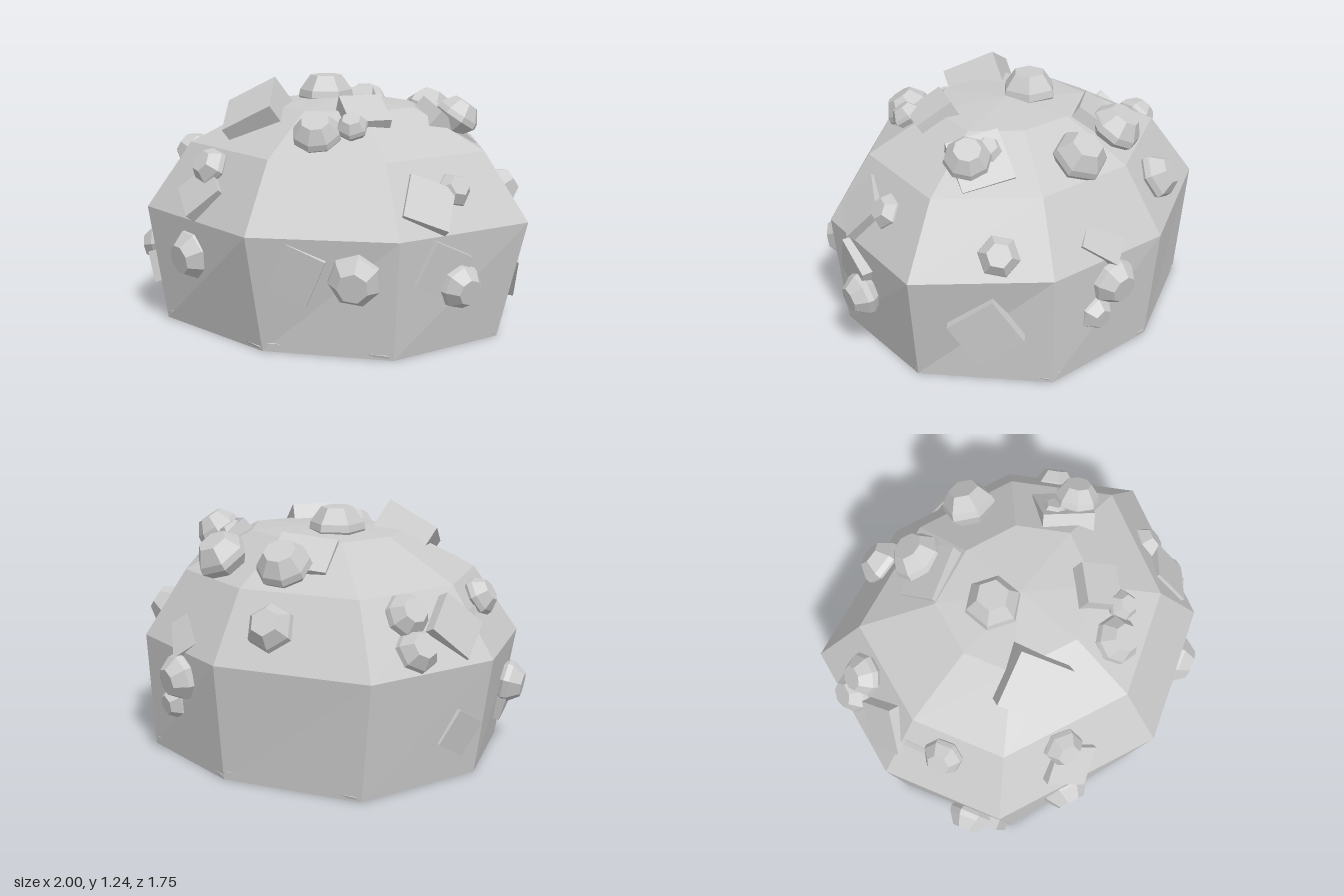
import * as THREE from 'three';

const mat = new THREE.MeshStandardMaterial({ color: 0xcccccc, flatShading: true });
const shellMat = new THREE.MeshStandardMaterial({ color: 0xcccccc, flatShading: true, side: THREE.DoubleSide });

// Widest outline and bottom rim of the dome (x, z), running from +x toward -x through +z
const outline = [[1, -0.09], [0.68, 0.6], [0.02, 0.88], [-0.8, 0.58],
  [-1, 0], [-0.78, -0.68], [-0.02, -0.87], [0.63, -0.65]];
const rim = [[0.87, -0.04], [0.63, 0.56], [0.03, 0.76], [-0.7, 0.56],
  [-0.91, 0], [-0.71, -0.65], [-0.02, -0.81], [0.6, -0.63]];
const N = outline.length;

// Cross-sections from the inner crown, down to the rim and up the outer skin: [points, scale, height]
const rings = [[outline, 0, 1.08], [outline, 0.38, 1.05], [outline, 0.73, 0.87], [outline, 0.95, 0.57],
  [rim, 0.94, 0.01], [rim, 1, 0.005], [outline, 1, 0.58], [outline, 0.77, 0.91], [outline, 0.4, 1.1], [outline, 0, 1.13]];

function shellGeometry() {
  const pos = [], idx = [];
  rings.forEach(([points, s, y]) => points.forEach(([x, z]) => pos.push(x * s, y, z * s)));
  for (let r = 0; r < rings.length - 1; r++) {
    for (let i = 0; i < N; i++) {
      const a = r * N + i, b = r * N + (i + 1) % N;
      if (rings[r][1] > 0) idx.push(a, a + N, b);
      if (rings[r + 1][1] > 0) idx.push(b, a + N, b + N);
    }
  }
  const g = new THREE.BufferGeometry();
  g.setAttribute('position', new THREE.Float32BufferAttribute(pos, 3));
  g.setIndex(idx);
  g.computeVertexNormals();
  return g;
}

// Outward direction of the facet nearest to a point on the dome
function facetNormal(x, y, z) {
  if (y > 1.13) return new THREE.Vector3(0, 1, 0);
  const n = new THREE.Vector3();
  let best = -Infinity;
  for (let i = 0; i < N; i++) {
    const [ax, az] = outline[i], [bx, bz] = outline[(i + 1) % N];
    const e = new THREE.Vector3(bz - az, 0, ax - bx).normalize();
    const t = (e.x * x + e.z * z) / (e.x * ax + e.z * az);
    if (t > best) { best = t; n.copy(e); }
  }
  n.y = y < 0.58 ? -0.18 : y < 0.92 ? 0.62 : 1.5;
  return n.normalize();
}

function place(mesh, name, [x, y, z], spin) {
  mesh.name = name;
  mesh.position.set(x, y, z);
  mesh.quaternion.setFromUnitVectors(new THREE.Vector3(0, 1, 0), facetNormal(x, y, z));
  mesh.rotateY(spin);
  return mesh;
}

// Faceted knob with a flat cap on both ends
function gemGeometry(r, sides) {
  const profile = [[0, -0.72], [0.58, -0.72], [1, -0.1], [0.95, 0.15], [0.57, 0.68], [0, 0.68]];
  return new THREE.LatheGeometry(profile.map(([a, b]) => new THREE.Vector2(a * r, b * r)), sides);
}

// Knobs: x, y, z, radius, sides
const gems = [
  [-0.43, 0.4, 0.68, 0.13, 8], [0.48, 0.39, 0.66, 0.13, 7], [-0.85, 0.35, 0.42, 0.11, 7],
  [-0.37, 0.83, 0.61, 0.1, 6], [0.84, 0.33, 0.3, 0.11, 8], [0.74, 0.76, 0.2, 0.09, 6],
  [-0.79, 0.82, 0.21, 0.1, 7], [0.16, 1.02, 0.48, 0.12, 8], [0.3, 1.05, 0.39, 0.08, 6],
  [-0.13, 1.135, -0.06, 0.14, 6], [0.58, 1.06, -0.15, 0.115, 8], [0.45, 1.05, -0.18, 0.08, 6],
  [-0.17, 1.02, -0.53, 0.135, 8], [0.21, 1.02, -0.54, 0.135, 6], [-0.25, 0.77, -0.73, 0.12, 6],
  [0.28, 0.45, -0.77, 0.12, 8], [0.36, 0.3, -0.72, 0.09, 6], [0.71, 0.68, -0.4, 0.105, 6],
  [-0.75, 0.83, -0.36, 0.11, 8], [-0.82, 0.68, -0.38, 0.11, 7],
];

// Blocks: x, y, z, width, height, depth, spin, tilt
const blocks = [
  [0.21, 0.41, 0.715, 0.2, 0.12, 0.25, 0, 0.08], [-0.38, 0.7, 0.65, 0.21, 0.1, 0.21, 0.6, -0.1],
  [-0.28, 1.04, 0.32, 0.28, 0.2, 0.28, 0.4, 0.1], [0.27, 1.07, 0.24, 0.21, 0.13, 0.2, 0.8, -0.25],
  [0.75, 0.42, 0.355, 0.23, 0.12, 0.23, 0.7, 0.1], [0.69, 0.71, 0.37, 0.23, 0.08, 0.23, 0.6, 0.12],
  [0.72, 0.31, -0.34, 0.26, 0.2, 0.26, 1.2, 0.15], [-0.19, 1.02, -0.4, 0.28, 0.12, 0.22, 0.3, 0.15],
  [0.49, 0.99, -0.16, 0.26, 0.12, 0.26, 0.9, -0.15], [-0.83, 0.73, -0.12, 0.24, 0.12, 0.22, 0.5, 0.15],
  [-0.27, 0.36, -0.71, 0.22, 0.12, 0.22, 0.8, 0.05], [-0.86, 0.25, -0.12, 0.19, 0.12, 0.19, 0.7, 0.05],
  [0.27, 0.64, -0.68, 0.2, 0.1, 0.22, 0.5, 0.1], [-0.8, 0.68, 0.12, 0.2, 0.12, 0.24, 0.3, 0.15],
  [-0.77, 0.26, 0.45, 0.16, 0.12, 0.22, 0.5, 0.1],
];

// Thin broken slivers lying along the rim, two per side
function rimSlivers() {
  const group = new THREE.Group();
  group.name = 'rimSlivers';
  rim.forEach(([ax, az], i) => {
    const [bx, bz] = rim[(i + 1) % N];
    const length = Math.hypot(bx - ax, bz - az);
    [0.3, 0.68].forEach((t, k) => {
      const sliver = new THREE.Mesh(new THREE.BoxGeometry(length * 0.58, 0.012, 0.07), mat);
      sliver.name = `rimSliver${i * 2 + k + 1}`;
      sliver.position.set((ax + (bx - ax) * t) * 0.95, 0.035, (az + (bz - az) * t) * 0.95);
      sliver.rotation.order = 'YXZ';
      sliver.rotation.set(k ? 0.4 : -0.3, -Math.atan2(bz - az, bx - ax) + (k ? 0.06 : -0.06), 0.02);
      group.add(sliver);
    });
  });
  return group;
}

export function createModel() {
  const model = new THREE.Group();
  model.name = 'studdedDome';

  const shell = new THREE.Mesh(shellGeometry(), shellMat);
  shell.name = 'domeShell';

  const knobs = new THREE.Group();
  knobs.name = 'facetedKnobs';
  gems.forEach(([x, y, z, r, sides], i) =>
    knobs.add(place(new THREE.Mesh(gemGeometry(r, sides), mat), `knob${i + 1}`, [x, y, z], i * 0.7)));

  // Blocks reach through the shell into the hollow
  const slabs = new THREE.Group();
  slabs.name = 'embeddedBlocks';
  blocks.forEach(([x, y, z, w, h, d, spin, tilt], i) => {
    const geometry = new THREE.BoxGeometry(w, h + 0.08, d).translate(0, -0.04, 0);
    const block = place(new THREE.Mesh(geometry, mat), `block${i + 1}`, [x, y, z], spin);
    block.rotateZ(tilt);
    slabs.add(block);
  });

  model.add(shell, rimSlivers(), knobs, slabs);
  return model;
}
